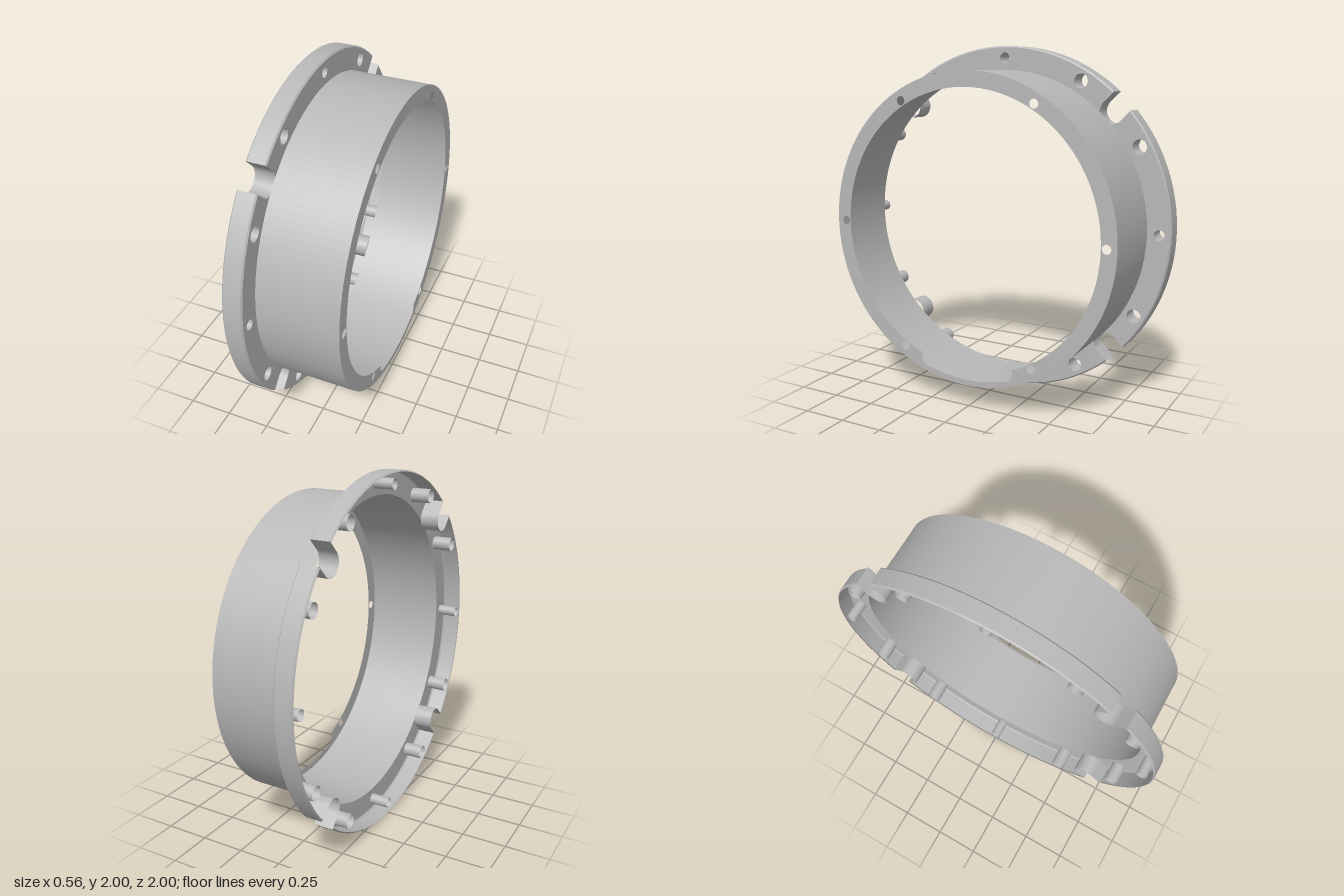
import * as THREE from 'three';

const BACK = -0.28, STEP = -0.17, FRONT = 0.28;   // depths along the ring axis
const R_OUT = 1, R_TUBE = 0.867, R_BORE = 0.78, BEVEL = 0.008;
const SLOT_R = 0.069, SLOT_C = 0.917;             // slot half width, centre of its round end

const polar = (r, a) => new THREE.Vector2(r * Math.cos(a), r * Math.sin(a));

// points on an arc from angle a to angle b
const arc = (r, a, b, n) =>
  Array.from({ length: n + 1 }, (_, i) => polar(r, a + (b - a) * i / n));

// point in slot coordinates (u outward, v sideways), slot lying at 45 degrees
const slotPoint = (u, v) => new THREE.Vector2((u - v) * Math.SQRT1_2, (u + v) * Math.SQRT1_2);

function circleHole(center, r) {
  return new THREE.Path().absarc(center.x, center.y, r, 0, Math.PI * 2, true);
}

// surface of revolution about local z from [radius, depth] pairs
function revolve(profile, segments, start = 0, length = Math.PI * 2) {
  const pts = profile.map(([r, z]) => new THREE.Vector2(r, z));
  return new THREE.LatheGeometry(pts, segments, start, length).rotateX(Math.PI / 2);
}

// strip that follows a flat path between two depths
function ribbon(path, z0, z1) {
  const geo = new THREE.PlaneGeometry(1, 1, path.length - 1, 1);
  const pos = geo.attributes.position;
  path.forEach((p, i) => {
    pos.setXYZ(i, p.x, p.y, z1);
    pos.setXYZ(i + path.length, p.x, p.y, z0);
  });
  geo.computeVertexNormals();
  return geo;
}

export function createModel() {
  const metal = new THREE.MeshStandardMaterial({ color: 0xb8b8b8, side: THREE.DoubleSide });
  metal.name = 'grey metal';

  const model = new THREE.Group();
  model.name = 'flangedRing';
  const ring = new THREE.Group();
  ring.name = 'ring';
  ring.rotation.y = Math.PI / 2;   // local z becomes x
  ring.position.y = 1;
  model.add(ring);

  const add = (parent, name, geo) => {
    const mesh = new THREE.Mesh(geo, metal);
    mesh.name = name;
    parent.add(mesh);
    return mesh;
  };

  // tube wall
  add(ring, 'tubeWall', revolve([[R_TUBE, STEP], [R_TUBE, FRONT]], 128));

  // end lip, its bore widened by a rounded recess at the bottom
  const lip = new THREE.Shape().absarc(0, 0, R_TUBE, 0, Math.PI * 2, false);
  const w = 0.289, rRecess = 0.834, xArc = 0.22;
  const cornerAngle = Math.acos(w / R_BORE), recessAngle = Math.acos(xArc / rRecess);
  const yArc = -Math.sqrt(rRecess ** 2 - xArc ** 2);
  const bore = new THREE.Path();
  bore.absarc(0, 0, R_BORE, -cornerAngle, Math.PI + cornerAngle, false);
  bore.lineTo(-w, -0.745);
  bore.quadraticCurveTo(-w, -0.8, -xArc, yArc);
  bore.absarc(0, 0, rRecess, Math.PI + recessAngle, Math.PI * 2 - recessAngle, false);
  bore.quadraticCurveTo(w, -0.8, w, -0.745);
  bore.closePath();
  lip.holes.push(bore);
  for (let i = 0; i < 6; i++) lip.holes.push(circleHole(polar(0.81, i * Math.PI / 3), 0.025));
  add(ring, 'endLip', new THREE.ShapeGeometry(lip, 64).translate(0, 0, FRONT));

  // outline of one flange quarter between two slots
  const rFace = R_OUT - BEVEL;
  const half = Math.PI / 4 - Math.asin(SLOT_R / R_OUT);
  const tEnd = Math.acos((SLOT_C ** 2 + SLOT_R ** 2 - R_TUBE ** 2) / (2 * SLOT_C * SLOT_R));
  const edge = Array.from({ length: 9 }, (_, i) => {
    const t = Math.PI / 2 + (tEnd - Math.PI / 2) * i / 8;
    return slotPoint(SLOT_C - SLOT_R * Math.cos(t), -SLOT_R * Math.sin(t));
  });
  const last = edge[edge.length - 1];
  const inner = Math.atan2(last.y, last.x);
  const mirrored = edge.map(p => new THREE.Vector2(p.x, -p.y)).reverse();
  const face = new THREE.Shape([
    ...arc(rFace, -half, half, 32), ...edge,
    ...arc(R_TUBE, inner, -inner, 32).slice(1, -1), ...mirrored,
  ]);

  // bolt holes of one quarter
  const holes = [[-Math.PI / 6, 0.04], [0, 0.03], [Math.PI / 6, 0.04]]
    .map(([a, r]) => ({ c: polar(0.934, a), r }));
  holes.forEach(h => face.holes.push(circleHole(h.c, h.r)));

  // slot wall: straight sides and a round inner end
  const uOut = Math.sqrt(R_OUT ** 2 - SLOT_R ** 2);
  const slotPath = [slotPoint(uOut, -SLOT_R)];
  for (let i = 0; i <= 20; i++) {
    const t = -Math.PI / 2 + Math.PI * i / 20;
    slotPath.push(slotPoint(SLOT_C - SLOT_R * Math.cos(t), SLOT_R * Math.sin(t)));
  }
  slotPath.push(slotPoint(uOut, SLOT_R));

  const faceGeo = new THREE.ShapeGeometry(face, 16).translate(0, 0, STEP);
  const slotGeo = ribbon(slotPath, BACK, STEP);
  const start = Math.PI / 2 - half;
  const rimGeo = revolve([[R_OUT, BACK + BEVEL], [R_OUT, STEP - BEVEL]], 32, start, 2 * half);
  const frontBevel = revolve([[R_OUT, STEP - BEVEL], [rFace, STEP]], 32, start, 2 * half);
  const backBevel = revolve([[rFace, BACK], [R_OUT, BACK + BEVEL]], 32, start, 2 * half);

  // four equal flange quarters, open at the back
  for (let q = 0; q < 4; q++) {
    const quarter = new THREE.Group();
    quarter.name = 'flangeQuarter';
    quarter.rotation.z = q * Math.PI / 2;
    ring.add(quarter);
    add(quarter, 'flangeFace', faceGeo);
    add(quarter, 'flangeRim', rimGeo);
    add(quarter, 'flangeFrontBevel', frontBevel);
    add(quarter, 'flangeBackBevel', backBevel);
    add(quarter, 'slotWall', slotGeo);
    for (const { c, r } of holes) {
      const tube = new THREE.CylinderGeometry(r, r, STEP - BACK, 24, 1, true).rotateX(Math.PI / 2);
      add(quarter, 'boltHoleWall', tube).position.set(c.x, c.y, (STEP + BACK) / 2);
    }
  }
  return model;
}
